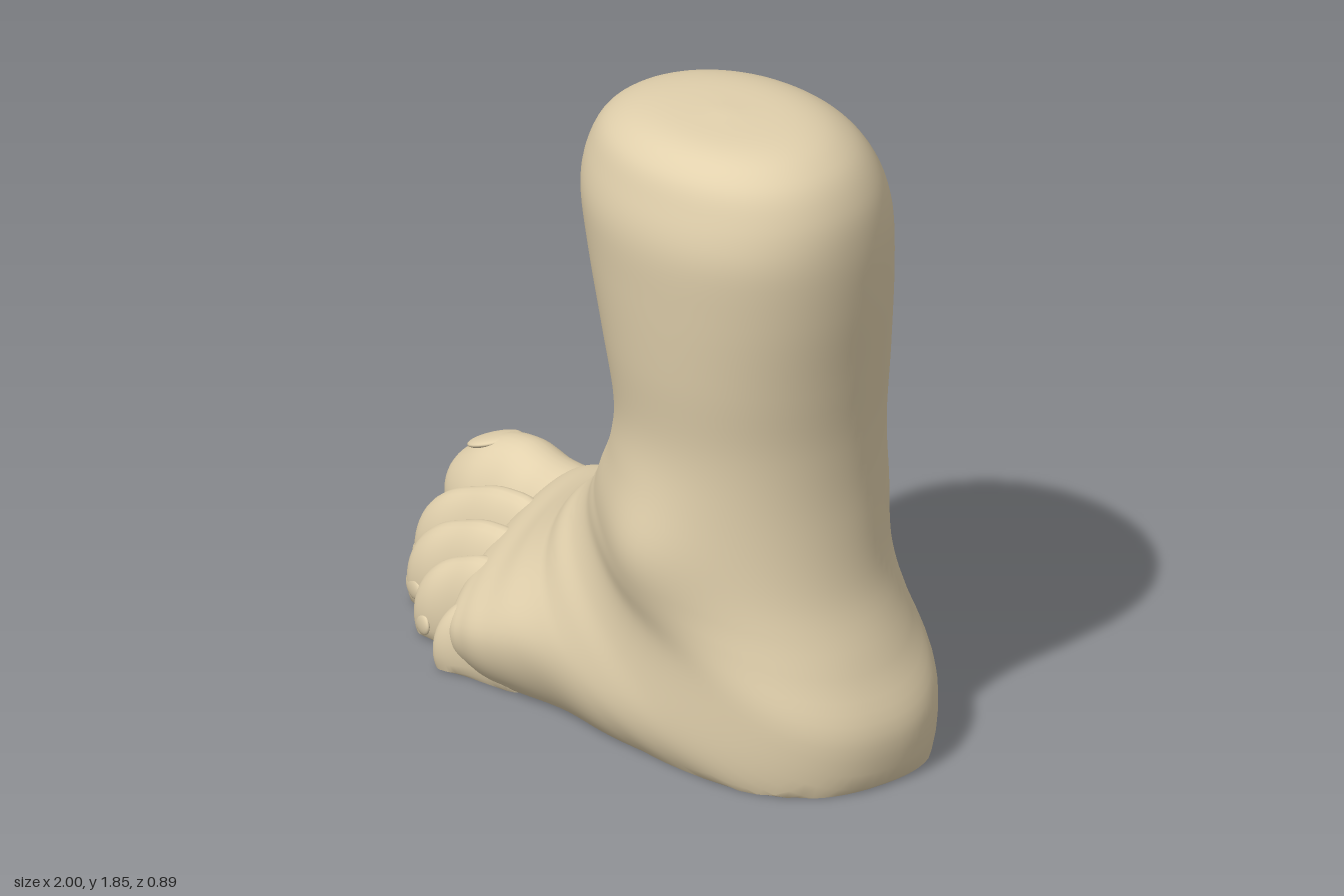
import * as THREE from 'three';
import { toCreasedNormals } from 'three/addons/utils/BufferGeometryUtils.js';

const skin = new THREE.MeshStandardMaterial({ color: 0xe2d1ad });

// Local swellings and dents: x, y, side (sign of z), amount, radius
const BUMPS = [
  [0.5, 0.71, -1, 0.05, 0.16],   // inner ankle bone
  [0.48, 0.62, 1, 0.045, 0.18],  // outer ankle bone
  [0.05, 0.03, 1, -0.03, 0.16],  // outer arch
  [0.1, 0.03, -1, -0.02, 0.18],  // inner arch
];

// Smooth loft through sections [frontX, frontY, backX, backY, z, halfWidth, lean, skew].
// Each section is a rounded oval spanning the front and back points, blunter when longer;
// the sole is flat at y = 0.
function loft(rows, stepsPerRow, sides, bumps = []) {
  const stride = 8;
  const curve = new THREE.CubicInterpolant(
    rows.map((_, i) => i), rows.flatMap(r => [...r, 0, 0].slice(0, stride)), stride, new Float32Array(stride));
  const rings = (rows.length - 1) * stepsPerRow;
  const pos = [], index = [];
  for (let i = 0; i <= rings; i++) {
    const [ax, ay, bx, by, zc, hw, lean, skew] = curve.evaluate(i / stepsPerRow);
    const power = 2 / THREE.MathUtils.clamp(0.95 + 1.15 * Math.hypot(ax - bx, ay - by), 2.05, 2.4);
    const round = v => Math.sign(v) * Math.abs(v) ** power;
    for (let j = 0; j < sides; j++) {
      const t = (j / sides) * Math.PI * 2;
      const u = round(Math.cos(t)), v = round(Math.sin(t));
      let z = zc + hw * v + lean * Math.max(u, 0) ** 2;
      const x = (ax + bx) / 2 + u * (ax - bx) / 2 + skew * z;
      const y = Math.max(0, (ay + by) / 2 + u * (ay - by) / 2);
      for (const [px, py, side, amount, r] of bumps) {
        const d2 = (x - px) ** 2 + (y - py) ** 2;
        z += side * amount * Math.exp(-d2 / (r * r)) * Math.max(0, side * v);
      }
      pos.push(x, y, z);
      if (i < rings) {
        const a = i * sides + j, b = i * sides + (j + 1) % sides;
        index.push(a, a + sides, b, b, a + sides, b + sides);
      }
    }
  }
  const g = new THREE.BufferGeometry();
  g.setAttribute('position', new THREE.Float32BufferAttribute(pos, 3));
  g.setIndex(index);
  return toCreasedNormals(g, 0.7);
}

function add(parent, name, geometry) {
  const mesh = new THREE.Mesh(geometry, skin);
  mesh.name = name;
  parent.add(mesh);
  return mesh;
}

function addNail(parent, name, position, scale, rotation) {
  const nail = add(parent, name, new THREE.SphereGeometry(1, 24, 16));
  nail.position.set(...position);
  nail.scale.set(...scale);
  nail.rotation.set(...rotation);
}

export function createModel() {
  const foot = new THREE.Group();
  foot.name = 'foot';

  // Leg, ankle, heel and instep: sections fan from level to upright around the ankle
  add(foot, 'legAndFoot', loft([
    [0.48, 1.845, 0.48, 1.845, 0.1, 0, 0, 0.18],
    [0.23, 1.825, 0.73, 1.835, 0.09, 0.2, 0, 0.18],
    [0.08, 1.775, 0.855, 1.78, 0.07, 0.31, 0, 0.18],
    [0, 1.69, 0.92, 1.68, 0.045, 0.375, 0, 0.18],
    [-0.025, 1.58, 0.94, 1.55, 0.032, 0.41, 0, 0.17],
    [0.01, 1.42, 0.928, 1.37, 0.025, 0.405, 0, 0.13],
    [0.08, 1.2, 0.895, 1.15, 0.02, 0.385, 0, 0.07],
    [0.13, 0.99, 0.867, 0.95, 0.015, 0.36, 0, 0.02],
    [0.115, 0.87, 0.857, 0.74, 0.01, 0.362],
    [0.055, 0.765, 0.875, 0.52, 0.005, 0.368],
    [0, 0.69, 0.94, 0.32, -0.015, 0.378],
    [-0.04, 0.64, 1.0, 0.13, -0.04, 0.388],
    [-0.08, 0.595, 0.93, -0.09, -0.045, 0.398],
    [-0.13, 0.55, 0.72, -0.13, -0.035, 0.403],
    [-0.2, 0.5, 0.42, -0.12, -0.022, 0.405, -0.04, 0.08],
    [-0.28, 0.45, 0.1, -0.1, -0.015, 0.41, -0.1, 0.18],
    [-0.36, 0.4, -0.15, -0.09, -0.01, 0.405, -0.15, 0.3],
    [-0.45, 0.345, -0.38, -0.08, -0.01, 0.39, -0.15, 0.42],
    [-0.52, 0.26, -0.51, -0.03, 0, 0.32, -0.1, 0.45],
    [-0.56, 0.13, -0.56, 0.13, 0, 0, 0, 0.45],
  ], 6, 80, BUMPS));

  // Big toe
  add(foot, 'bigToe', loft([
    [-0.28, 0.2, -0.28, 0.2, -0.22, 0],
    [-0.38, 0.35, -0.38, -0.05, -0.235, 0.15],
    [-0.52, 0.35, -0.52, -0.06, -0.25, 0.158],
    [-0.64, 0.348, -0.64, -0.06, -0.262, 0.145],
    [-0.74, 0.366, -0.74, -0.05, -0.265, 0.14],
    [-0.85, 0.345, -0.84, -0.04, -0.265, 0.145],
    [-0.95, 0.285, -0.92, 0.03, -0.265, 0.118],
    [-0.985, 0.24, -0.975, 0.12, -0.265, 0.07],
    [-1.0, 0.19, -1.0, 0.19, -0.265, 0],
  ], 5, 40));
  addNail(foot, 'bigToeNail', [-0.865, 0.325, -0.26], [0.075, 0.016, 0.075], [0, 0, 0.32]);

  // Smaller toes share one profile: fraction along, top, bottom, width
  const profile = [
    [0, 0.5, 0.15, 0], [0.08, 0.95, -0.05, 0.8], [0.35, 0.98, -0.05, 0.9], [0.6, 0.87, -0.05, 0.9],
    [0.8, 0.74, -0.05, 1], [0.94, 0.55, -0.03, 0.8], [1, 0.27, 0.07, 0],
  ];
  // name, root x, tip x, root z, tip z, half width, height
  const toes = [
    ['secondToe', -0.4, -0.91, -0.05, -0.055, 0.08, 0.345],
    ['thirdToe', -0.32, -0.79, 0.085, 0.07, 0.082, 0.315],
    ['fourthToe', -0.24, -0.62, 0.195, 0.19, 0.078, 0.285],
    ['littleToe', -0.1, -0.41, 0.255, 0.3, 0.082, 0.26],
  ];
  toes.forEach(([name, x0, x1, z0, z1, hw, h], i) => {
    add(foot, name, loft(profile.map(([f, top, bottom, w]) => {
      const x = THREE.MathUtils.lerp(x0, x1, f);
      return [x, top * h, x, w === 0 ? top * h : bottom, THREE.MathUtils.lerp(z0, z1, f), hw * w];
    }), 5, 32));
    // Nails sit on the outer side of the curled tips
    if (i < 3) {
      addNail(foot, name + 'Nail', [x1 + 0.06, 0.07 - i * 0.012, z1 + hw * 0.85],
        [0.05, 0.034, 0.012], [0, -0.35, 0]);
    }
  });
  return foot;
}
